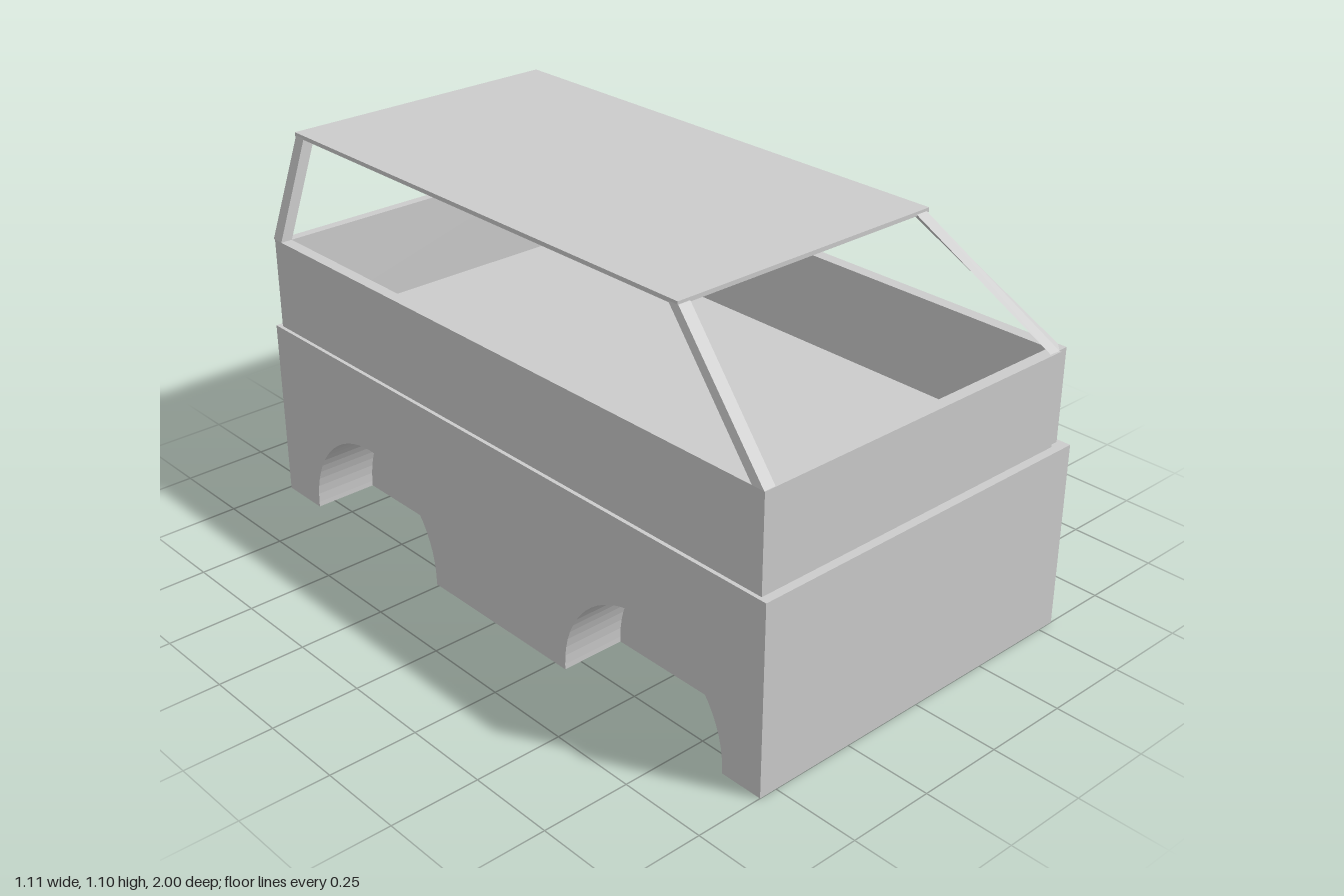
import * as THREE from 'three';

const material = new THREE.MeshStandardMaterial({ color: 0xcccccc, flatShading: true });

function add(parent, name, geometry) {
  const mesh = new THREE.Mesh(geometry, material);
  mesh.name = name;
  parent.add(mesh);
  return mesh;
}

// Box given by its lower and upper limits on each axis
function box(parent, name, [x0, x1], [y0, y1], [z0, z1]) {
  const geometry = new THREE.BoxGeometry(x1 - x0, y1 - y0, z1 - z0);
  geometry.translate((x0 + x1) / 2, (y0 + y1) / 2, (z0 + z1) / 2);
  return add(parent, name, geometry);
}

// Four-sided post between two quads of [x, z] corners, in the order
// front -x, front +x, back +x, back -x
function post(parent, name, bottom, y0, top, y1) {
  const points = [
    ...bottom.map(([x, z]) => [x, y0, z]),
    ...top.map(([x, z]) => [x, y1, z]),
  ];
  const index = [0, 3, 2, 0, 2, 1, 4, 5, 6, 4, 6, 7];
  for (let i = 0; i < 4; i++) {
    const j = (i + 1) % 4;
    index.push(i, j, j + 4, i, j + 4, i + 4);
  }
  const geometry = new THREE.BufferGeometry();
  geometry.setAttribute('position', new THREE.Float32BufferAttribute(points.flat(), 3));
  geometry.setIndex(index);
  const flat = geometry.toNonIndexed();
  flat.computeVertexNormals();
  return add(parent, name, flat);
}

const rect = (x0, x1, z0, z1) => [[x0, z1], [x1, z1], [x1, z0], [x0, z0]];

// Side outline in (z, y) with two round wheel arches cut from the bottom
function sideShape() {
  const shape = new THREE.Shape();
  const radius = 0.29, lift = 0.015;
  shape.moveTo(-0.993, 0);
  for (const z of [-0.55, 0.582]) {
    shape.lineTo(z - radius, 0);
    shape.lineTo(z - radius, lift);
    shape.absarc(z, lift, radius, Math.PI, 0, true);
    shape.lineTo(z + radius, 0);
  }
  shape.lineTo(1, 0);
  shape.lineTo(1, 0.54);
  shape.lineTo(-0.993, 0.54);
  shape.closePath();
  return shape;
}

export function createModel() {
  const model = new THREE.Group();
  model.name = 'vanBody';

  // Solid lower body: core plus arched sides
  const lower = new THREE.Group();
  lower.name = 'lowerBody';
  model.add(lower);
  box(lower, 'lowerCore', [-0.363, 0.363], [0, 0.54], [-0.993, 1]);
  for (const [name, outer] of [['leftArchedSide', 0.553], ['rightArchedSide', -0.363]]) {
    const geometry = new THREE.ExtrudeGeometry(sideShape(), {
      depth: 0.19, bevelEnabled: false, curveSegments: 16,
    });
    geometry.rotateY(-Math.PI / 2);
    geometry.translate(outer, 0, 0);
    add(lower, name, geometry);
  }

  // Thin upper walls, open on top
  const walls = new THREE.Group();
  walls.name = 'upperWalls';
  model.add(walls);
  const height = [0.54, 0.81];
  box(walls, 'frontWall', [-0.542, 0.508], height, [0.94, 0.975]);
  box(walls, 'backWall', [-0.508, 0.508], height, [-0.972, -0.943]);
  box(walls, 'leftWall', [0.503, 0.54], height, [-0.976, 0.967]);
  box(walls, 'rightWall', [-0.542, -0.508], height, [-0.976, 0.94]);

  // Slanted pillars carrying the roof
  const pillars = new THREE.Group();
  pillars.name = 'pillars';
  model.add(pillars);
  post(pillars, 'rightFrontPillar', rect(-0.542, -0.507, 0.935, 0.973), 0.81,
    rect(-0.433, -0.395, 0.545, 0.58), 1.09);
  post(pillars, 'leftFrontPillar', [[0.474, 0.968], [0.508, 0.97], [0.54, 0.94], [0.505, 0.935]], 0.81,
    [[0.395, 0.578], [0.433, 0.578], [0.44, 0.548], [0.403, 0.545]], 1.09);
  post(pillars, 'rightBackPillar', rect(-0.542, -0.507, -0.982, -0.943), 0.81,
    rect(-0.433, -0.397, -0.995, -0.957), 1.09);
  post(pillars, 'leftBackPillar', rect(0.503, 0.54, -0.985, -0.945), 0.81,
    rect(0.403, 0.44, -0.995, -0.957), 1.09);

  // Flat roof panel
  box(model, 'roof', [-0.433, 0.442], [1.086, 1.098], [-1, 0.578]);

  return model;
}
